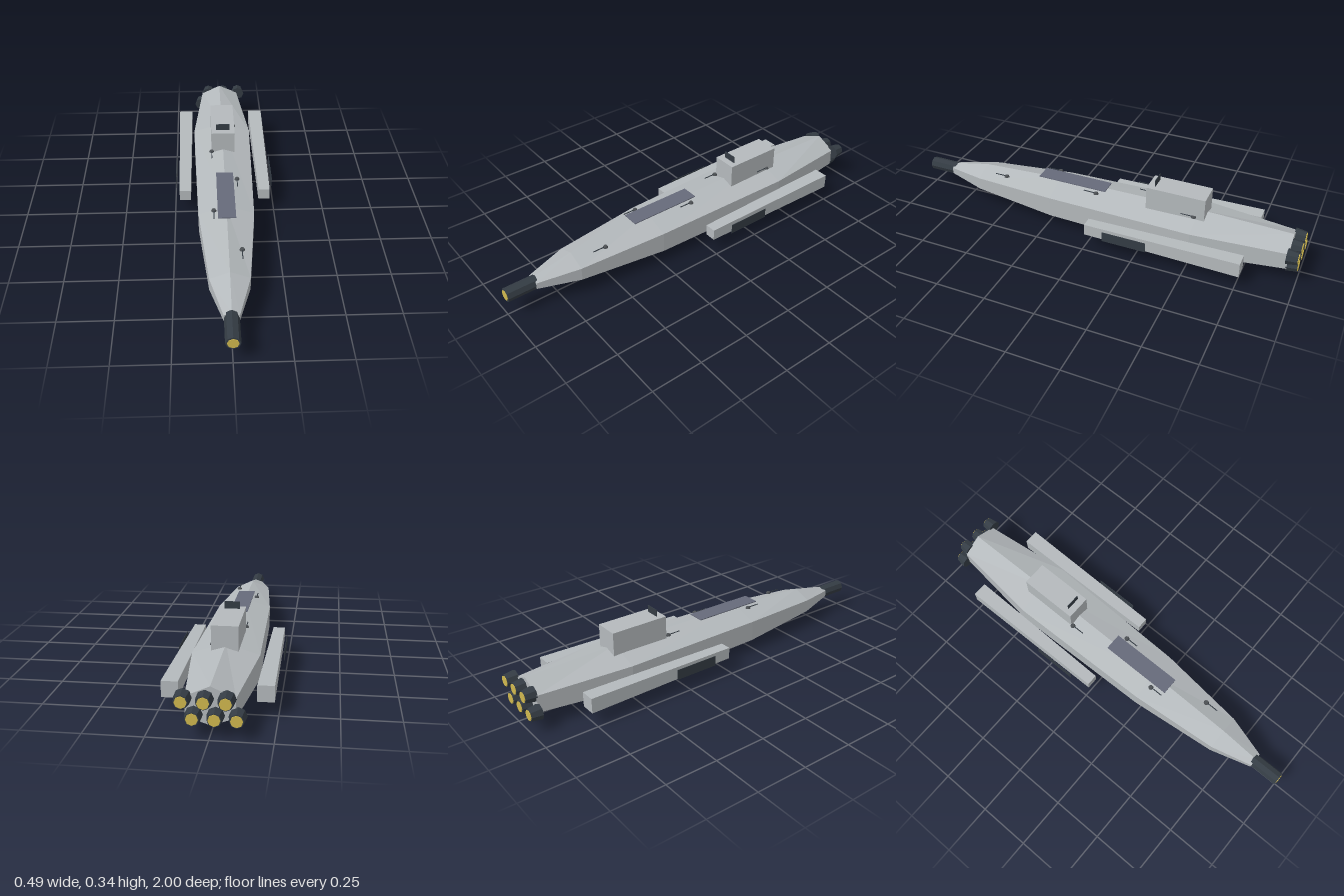
import * as THREE from 'three';

const material = (name, color) => {
  const m = new THREE.MeshStandardMaterial({ color, flatShading: true });
  m.name = name;
  return m;
};

// Closed solid through rings of [x, y, z] points, front to back, counter-clockwise seen from the front
function loft(rings) {
  const n = rings[0].length, last = rings.length - 1, pos = [];
  const tri = (...points) => points.forEach((p) => pos.push(...p));
  for (let i = 0; i < last; i++) {
    for (let k = 0; k < n; k++) {
      const a = rings[i][k], b = rings[i][(k + 1) % n];
      const d = rings[i + 1][k], c = rings[i + 1][(k + 1) % n];
      tri(a, d, c);
      tri(a, c, b);
    }
  }
  for (let k = 1; k < n - 1; k++) {
    tri(rings[0][0], rings[0][k], rings[0][k + 1]);
    tri(rings[last][0], rings[last][k + 1], rings[last][k]);
  }
  const g = new THREE.BufferGeometry();
  g.setAttribute('position', new THREE.Float32BufferAttribute(pos, 3));
  g.computeVertexNormals();
  return g;
}

// Eight-sided tube along z, from zBack to zFront
function tubeZ(rFront, rBack, zFront, zBack, sides = 8) {
  return new THREE.CylinderGeometry(rFront, rBack, zFront - zBack, sides)
    .rotateX(Math.PI / 2).translate(0, 0, (zFront + zBack) / 2);
}

export function createModel() {
  const model = new THREE.Group();
  model.name = 'spaceship';
  const hullGrey = material('hull grey', 0xb4b9bc);
  const darkSteel = material('dark steel', 0x343c44);
  const glowYellow = material('glow yellow', 0xd0b84e);
  const deckSlate = material('deck slate', 0x666a7a);
  const gunGrey = material('gun grey', 0x4c5054);

  const add = (name, geometry, mat, x = 0, y = 0, z = 0, parent = model) => {
    const mesh = new THREE.Mesh(geometry, mat);
    mesh.name = name;
    mesh.position.set(x, y, z);
    parent.add(mesh);
    return mesh;
  };

  // Six-sided hull: z, half width, top, upper side, lower side, bottom
  const sections = [
    [0.86, 0.034, 0.143, 0.130, 0.098, 0.085],
    [0.66, 0.090, 0.184, 0.147, 0.083, 0.045],
    [0.23, 0.132, 0.207, 0.163, 0.061, 0.018],
    [-0.50, 0.150, 0.214, 0.168, 0.057, 0.001],
    [-0.95, 0.100, 0.203, 0.158, 0.075, 0.040],
  ];
  add('hull', loft(sections.map(([z, w, top, up, low, bottom]) => [
    [0, top, z], [-w, up, z], [-w, low, z], [0, bottom, z], [w, low, z], [w, up, z],
  ])), hullGrey);

  // Nose gun
  add('noseBarrel', tubeZ(0.033, 0.033, 0.997, 0.83), darkSteel, 0, 0.113);
  add('noseGlow', tubeZ(0.025, 0.025, 1, 0.994), glowYellow, 0, 0.113);

  // Two staggered rows of three engines
  for (const [row, y, shift] of [['upper', 0.152, 0.021], ['lower', 0.084, -0.021]]) {
    for (const i of [-1, 0, 1]) {
      const x = i * 0.086 + shift;
      add(row + 'Engine', tubeZ(0.037, 0.029, -0.945, -0.997), darkSteel, x, y);
      add(row + 'EngineGlow', tubeZ(0.025, 0.025, -0.994, -1), glowYellow, x, y);
    }
  }

  // Tapered side pods with a dark plate standing off each outer face
  const podRing = (z, r) => [[r, r, z], [-r, r, z], [-r, -r, z], [r, -r, z]];
  for (const [side, s] of [['left', 1], ['right', -1]]) {
    add(side + 'Pod', loft([podRing(0, 0.028), podRing(-0.765, 0.036)]), hullGrey, s * 0.198, 0.102);
    add(side + 'PodPlate', new THREE.BoxGeometry(0.002, 0.05, 0.22), darkSteel, s * 0.244, 0.102, -0.21);
  }

  // Bridge tower, its sensor plate and the deck panel
  add('bridge', new THREE.BoxGeometry(0.12, 0.125, 0.29), hullGrey, 0, 0.2455, -0.395);
  add('sensorPlate', new THREE.BoxGeometry(0.07, 0.034, 0.003), darkSteel, 0, 0.325, -0.285);
  add('deckPanel', new THREE.BoxGeometry(0.084, 0.004, 0.36), deckSlate, 0, 0.216, 0.15);

  // Deck turrets, alternating sides, with barrels pointing forward
  const base = new THREE.CylinderGeometry(0.009, 0.013, 0.009, 8);
  const barrel = tubeZ(0.0025, 0.0025, 0.065, 0, 6);
  const turret = (name, x, y, z, up) => {
    const group = new THREE.Group();
    group.name = name;
    group.position.set(x, y, z);
    add('turretBase', base, gunGrey, 0, 0, 0, group).rotation.z = up ? 0 : Math.PI;
    add('turretBarrel', barrel, darkSteel, 0, 0, 0, group);
    model.add(group);
  };
  for (let i = 0; i < 5; i++) {
    turret('deckTurret', i % 2 ? -0.06 : 0.06, i ? 0.209 : 0.182, 0.51 - i * 0.25, true);
  }

  // Keel guns: slim barrels just below the belly
  for (let i = 0; i < 4; i++) {
    add('keelGun', barrel, darkSteel, i % 2 ? -0.06 : 0.06, i ? 0.017 : 0.044, 0.395 - i * 0.25);
  }
  return model;
}
